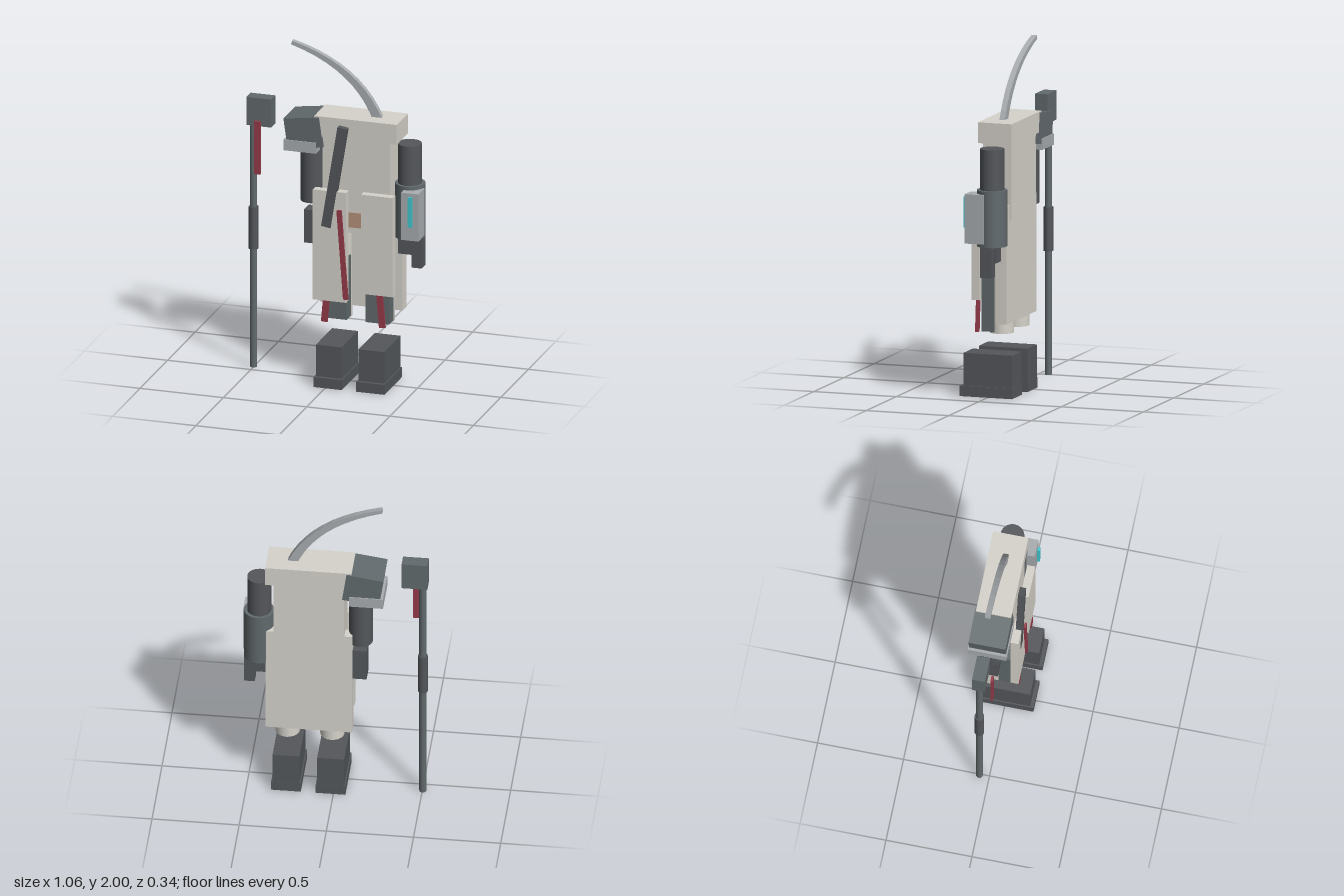
import * as THREE from 'three';

const mat = (color) => new THREE.MeshStandardMaterial({ color });

export function createModel() {
  const model = new THREE.Group();
  const light = mat(0xd6d3cb), dark = mat(0x54575b), slate = mat(0x626a6d);
  const metal = mat(0xa9adb0), red = mat(0x963c4a), cyan = mat(0x40c8d0), tan = mat(0xb8937c);
  const AXIS_Z = -0.058; // depth of the body's centre line

  const add = (name, geometry, material, x, y, z, tilt = 0) => {
    const mesh = new THREE.Mesh(geometry, material);
    mesh.name = name;
    mesh.position.set(x, y, z);
    mesh.rotation.z = tilt;
    model.add(mesh);
    return mesh;
  };
  // Box from its limits on each axis
  const box = (name, m, x0, x1, y0, y1, z0, z1) =>
    add(name, new THREE.BoxGeometry(x1 - x0, y1 - y0, z1 - z0), m, (x0 + x1) / 2, (y0 + y1) / 2, (z0 + z1) / 2);
  // Tilted box from its centre and size
  const bar = (name, m, x, y, z, w, h, d, tilt) =>
    add(name, new THREE.BoxGeometry(w, h, d), m, x, y, z, tilt);
  // Upright cylinder on the body's centre line
  const rod = (name, m, x, r, y0, y1, sides = 20) =>
    add(name, new THREE.CylinderGeometry(r, r, y1 - y0, sides), m, x, (y0 + y1) / 2, AXIS_Z);

  // Torso, mantle and long back panel
  box('mantle', light, -0.105, 0.39, 1.475, 1.595, -0.16, 0.045);
  box('torso', light, -0.06, 0.345, 1.03, 1.5, -0.143, 0.03);
  box('backPanel', light, -0.105, 0.39, 0.435, 1.12, -0.13, -0.063);
  box('pelvis', light, -0.04, 0.325, 0.9, 1.04, -0.12, 0.015);
  box('belt', tan, 0.05, 0.24, 0.94, 1.03, 0, 0.035);

  // Front tabards, chest strap and sashes
  box('rightTabard', light, -0.1, 0.1, 0.5, 1.165, 0.04, 0.087);
  box('leftTabard', light, 0.19, 0.38, 0.565, 1.165, 0.04, 0.087);
  bar('chestStrap', dark, 0.028, 1.25, 0.072, 0.057, 0.615, 0.037, -0.16);
  bar('sash', red, 0.08, 0.79, 0.092, 0.029, 0.535, 0.015, 0.074);
  bar('rightTassel', red, -0.025, 0.47, 0.076, 0.037, 0.2, 0.015, -0.09);
  bar('leftTassel', red, 0.305, 0.48, 0.076, 0.037, 0.22, 0.015, 0.085);
  bar('innerRibbon', red, 0.3, 0.76, 0.031, 0.03, 0.28, 0.012, 0);

  // Legs and boots
  for (const [side, x] of [['right', 0.016], ['left', 0.272]]) {
    rod(side + 'Leg', light, x, 0.07, 0.37, 0.95);
    box(side + 'LegGuard', slate, x - 0.072, x + 0.072, 0.38, 0.75, -0.038, 0.04);
    box(side + 'Boot', dark, x - 0.077, x + 0.077, 0.06, 0.25, -0.148, 0.147);
    box(side + 'Sole', dark, x - 0.085, x + 0.085, 0, 0.06, -0.15, 0.168);
  }

  // Right arm and shoulder guard
  bar('pauldron', slate, -0.17, 1.485, AXIS_Z, 0.214, 0.181, 0.215, 0.14);
  box('pauldronRim', metal, -0.287, -0.092, 1.37, 1.435, -0.171, 0.055);
  rod('rightArm', dark, -0.148, 0.069, 1.05, 1.44);
  box('rightHand', dark, -0.185, -0.085, 0.8, 1.0, -0.1, -0.015);

  // Left arm with wrist device
  rod('leftUpperArm', dark, 0.435, 0.069, 1.2, 1.457);
  rod('leftForearm', slate, 0.437, 0.087, 0.895, 1.22);
  box('leftHand', dark, 0.38, 0.475, 0.8, 0.9, -0.095, -0.005);
  box('leftFingers', dark, 0.458, 0.52, 0.72, 0.9, -0.085, -0.015);
  box('wristDevice', metal, 0.426, 0.53, 0.915, 1.2, -0.04, 0.075);
  box('deviceLight', cyan, 0.472, 0.496, 1.0, 1.18, 0.079, 0.093);

  // Staff
  rod('staffShaft', slate, -0.503, 0.021, 0, 1.48, 12);
  rod('staffGrip', dark, -0.503, 0.028, 0.715, 0.97, 12);
  box('staffHead', slate, -0.533, -0.385, 1.47, 1.64, -0.095, -0.02);
  box('staffStreamer', red, -0.476, -0.44, 1.19, 1.51, 0, 0.014);

  // Tapering curved plume: offset a curve to both sides and extrude it
  const curve = new THREE.QuadraticBezierCurve(
    new THREE.Vector2(0.25, 1.57), new THREE.Vector2(0.13, 1.88), new THREE.Vector2(-0.27, 1.99));
  const outer = [], inner = [];
  for (let i = 0; i <= 10; i++) {
    const t = i / 10, p = curve.getPoint(t), d = curve.getTangent(t);
    const normal = new THREE.Vector2(d.y, -d.x).multiplyScalar(0.028 - 0.017 * t);
    outer.push(p.clone().add(normal));
    inner.unshift(p.clone().sub(normal));
  }
  const plume = new THREE.ExtrudeGeometry(new THREE.Shape([...outer, ...inner]), { depth: 0.032, bevelEnabled: false });
  add('plume', plume, metal, 0, 0, AXIS_Z - 0.016);

  return model;
}
